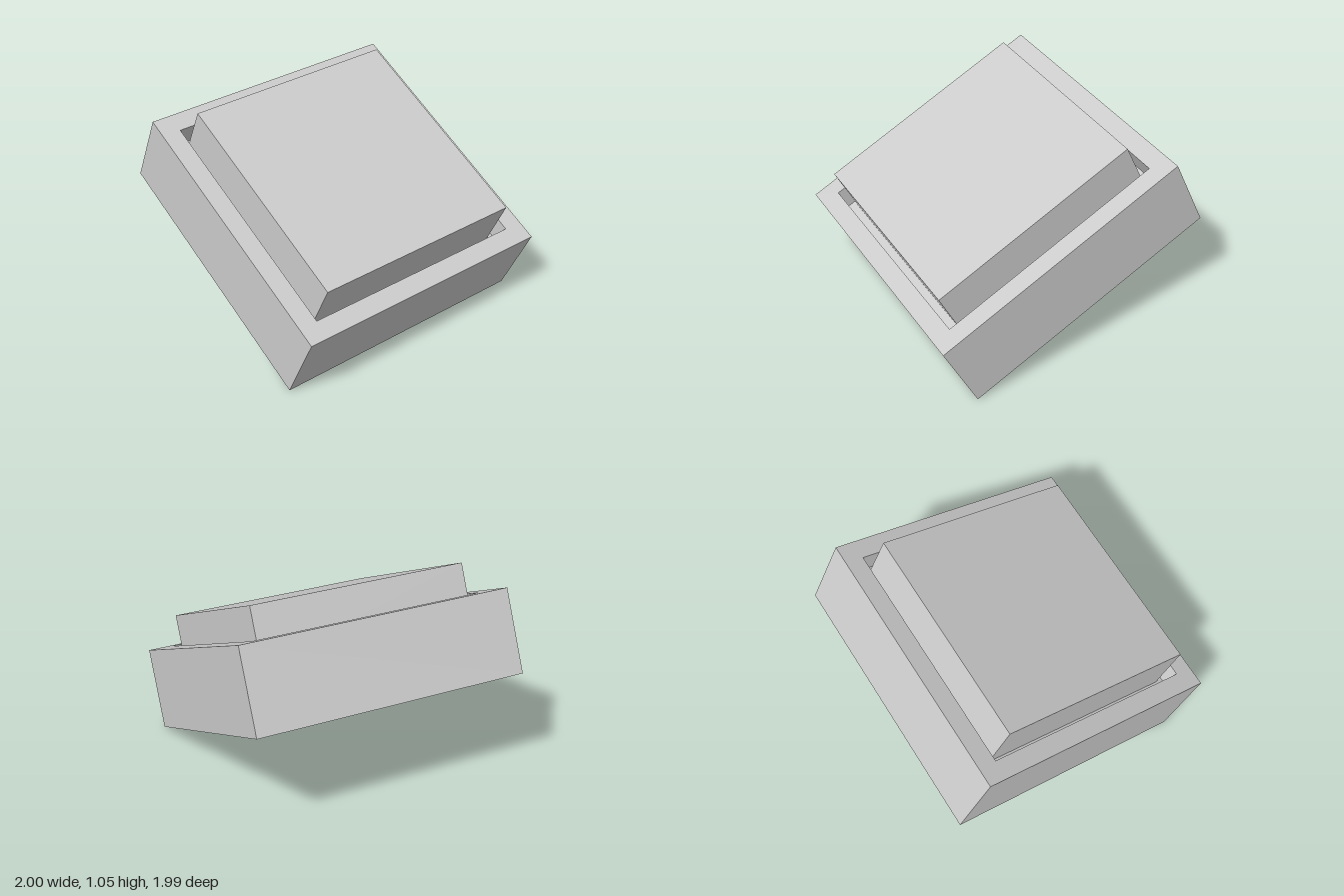
import * as THREE from 'three';

const SIDE = 1.397;      // tray width and depth
const HEIGHT = 0.42;     // tray height
const OPENING = 1.2;     // width of the square recess
const DEPTH = 0.12;      // depth of the recess
const BLOCK = 1.117;     // width of the raised block
const RISE = 0.157;      // block height above the rim

export function createModel() {
  const material = new THREE.MeshStandardMaterial({ color: 0xcccccc, flatShading: true });
  const model = new THREE.Group();
  model.name = 'tiltedTrayWithBlock';

  // square tray: one closed shell, turned in four segments
  const outer = SIDE / Math.SQRT2;
  const inner = OPENING / Math.SQRT2;
  const top = HEIGHT / 2;
  const profile = [
    [0, -top], [outer, -top], [outer, top],
    [inner, top], [inner, top - DEPTH], [0, top - DEPTH],
  ].map(([r, y]) => new THREE.Vector2(r, y));
  const trayGeometry = new THREE.LatheGeometry(profile, 4).rotateY(Math.PI / 4).toNonIndexed();
  trayGeometry.computeVertexNormals();
  const tray = new THREE.Mesh(trayGeometry, material);
  tray.name = 'tray';

  // block standing on the recess floor, with a narrow gap all round
  const blockHeight = DEPTH + RISE;
  const block = new THREE.Mesh(new THREE.BoxGeometry(BLOCK, blockHeight, BLOCK), material);
  block.name = 'raisedBlock';
  block.position.y = top - DEPTH + blockHeight / 2;

  // tilt by 25 degrees, then turn about the vertical; lowest edge rests on y = 0
  const tilt = THREE.MathUtils.degToRad(25);
  const body = new THREE.Group();
  body.name = 'tiltedBody';
  body.add(tray, block);
  body.rotation.set(0, THREE.MathUtils.degToRad(-38.55), -tilt, 'YXZ');
  body.position.y = (SIDE * Math.sin(tilt) + HEIGHT * Math.cos(tilt)) / 2;
  model.add(body);
  return model;
}
